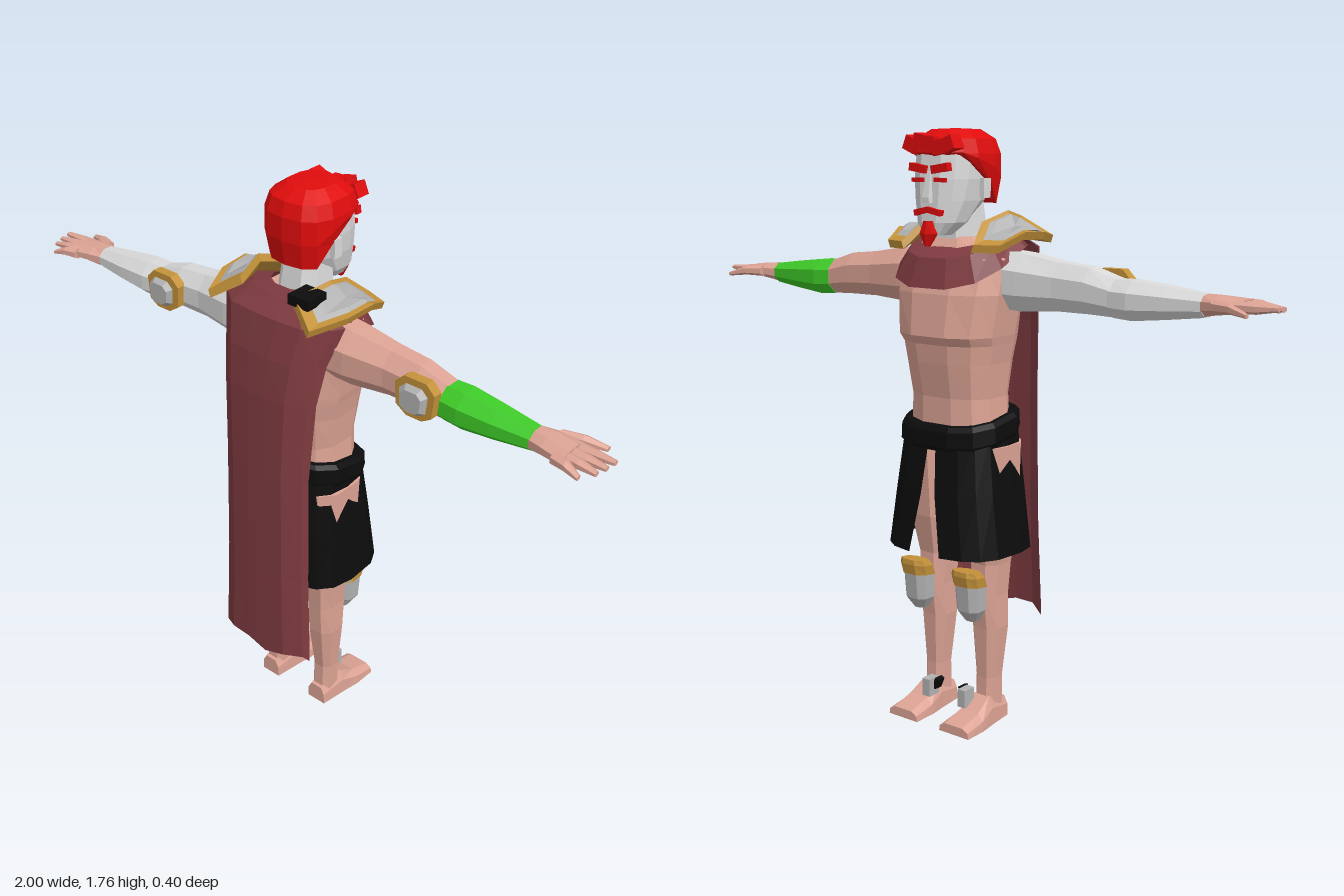
import * as THREE from 'three';

const mat = (name, color, side = THREE.FrontSide) => {
  const m = new THREE.MeshStandardMaterial({ color, side });
  m.name = name;
  return m;
};
const M = {
  skin: mat('skin', 0xdca394),
  pale: mat('pale grey', 0xdadada),
  steel: mat('steel', 0xb2b2b2),
  gold: mat('gold', 0xc4923a),
  hair: mat('bright red', 0xe00c0c, THREE.DoubleSide),
  cloth: mat('dark red cloth', 0x7f3b40, THREE.DoubleSide),
  black: mat('black', 0x0c0c0c, THREE.DoubleSide),
  green: mat('green', 0x3fcc28),
};
const V = (x, y, z) => new THREE.Vector3(x, y, z);
const centre = (r) => r.reduce((a, p) => a.add(p), V(0, 0, 0)).divideScalar(r.length);

// Faceted skin over cross-sections; closed ones are capped and turned outward
function loft(name, material, rings, closed = true) {
  const tris = [], n = rings[0].length, cols = closed ? n : n - 1;
  for (let i = 0; i < rings.length - 1; i++)
    for (let j = 0; j < cols; j++) {
      const k = (j + 1) % n, a = rings[i][j], b = rings[i + 1][j], c = rings[i + 1][k], d = rings[i][k];
      tris.push([a, b, c], [a, c, d]);
    }
  if (closed) {
    const first = rings[0], last = rings[rings.length - 1], c0 = centre(first), c1 = centre(last);
    for (let j = 0; j < n; j++) {
      const k = (j + 1) % n;
      tris.push([c0, first[j], first[k]], [c1, last[k], last[j]]);
    }
    const volume = tris.reduce((s, [a, b, c]) => s + a.dot(b.clone().cross(c)), 0);
    if (volume < 0) tris.forEach((t) => t.reverse());
  }
  const g = new THREE.BufferGeometry().setFromPoints(tris.flat());
  g.computeVertexNormals();
  const mesh = new THREE.Mesh(g, material);
  mesh.name = name;
  return mesh;
}

// Horizontal boxy oval: [y, half width, front z, back z, tilt, centre x]
function oval([y, rx, zf, zb, tilt = 0, cx = 0], n = 12, power = 0.75, gap = 0) {
  const pts = [], bend = (v) => Math.sign(v) * Math.abs(v) ** power;
  for (let i = 0; i < n; i++) {
    const a = gap ? -Math.PI / 2 + gap + (i / (n - 1)) * (2 * Math.PI - 2 * gap) : ((i + 0.5) / n) * Math.PI * 2;
    const z = (zf + zb) / 2 + bend(Math.sin(a)) * (zb - zf) / 2;
    pts.push(V(cx + bend(Math.cos(a)) * rx, y + tilt * z, z));
  }
  return pts;
}

// Sideways limb: rows of [x, y, z, half height, half depth]
const limb = (name, material, s, rows, n = 8) => loft(name, material, rows.map(([x, y, z, ry, rz]) =>
  Array.from({ length: n }, (_, i) => {
    const a = ((i + 0.5) / n) * Math.PI * 2;
    return V(s * x, y + ry * Math.sin(a), z + rz * Math.cos(a));
  })));

// Armour plate with a gold rim around a raised steel panel
function plate(name, outline, lift, inset, bulge) {
  const g = new THREE.Group();
  g.name = name;
  const top = outline.map((p) => p.clone().add(lift)), c = centre(top);
  const inner = top.map((p) => c.clone().lerp(p, inset));
  const raised = top.map((p) => c.clone().lerp(p, inset * 0.75).addScaledVector(lift, bulge));
  g.add(loft('rim', M.gold, [outline, top, inner]));
  g.add(loft('panel', M.steel, [inner.map((p) => p.clone().addScaledVector(lift, 0.15)), raised]));
  return g;
}

function box(name, material, w, h, d, x, y, z, rz = 0) {
  const m = new THREE.Mesh(new THREE.BoxGeometry(w, h, d), material);
  m.name = name;
  m.position.set(x, y, z);
  m.rotation.z = rz;
  return m;
}

function buildBody(g) {
  g.add(loft('torso', M.skin, [
    [0.86, 0.15, -0.14, 0.09], [1.0, 0.142, -0.14, 0.085], [1.1, 0.152, -0.158, 0.1], [1.155, 0.162, -0.165, 0.11],
    [1.18, 0.168, -0.183, 0.113], [1.3, 0.185, -0.168, 0.115], [1.4, 0.185, -0.13, 0.1], [1.46, 0.1, -0.09, 0.08],
  ].map((r) => oval(r))));
  // Kilt with a front slit that opens downward, under a tilted belt
  g.add(loft('kilt', M.black, [[0.9, 0.165, -0.155, 0.11, 0, 0, 0.02], [0.72, 0.186, -0.18, 0.128, 0, 0, 0.06],
    [0.54, 0.207, -0.2, 0.14, 0, 0, 0.16]].map((r) => oval(r, 17, 0.7, r[6])), false));
  g.add(loft('belt', M.black, [[0.875, 0.168, -0.16, 0.112, 0.18], [0.89, 0.176, -0.172, 0.116, 0.18],
    [0.935, 0.174, -0.17, 0.116, 0.18], [0.947, 0.16, -0.158, 0.108, 0.18]].map((r) => oval(r))));
  g.add(loft('neck', M.pale, [[1.4, 0.08, -0.1, 0.06], [1.48, 0.072, -0.095, 0.045], [1.56, 0.065, -0.09, 0.03]].map((r) => oval(r, 8))));
}

function buildHead(g) {
  const head = new THREE.Group();
  head.name = 'head';
  head.add(loft('face', M.pale, [
    [1.465, 0.035, -0.165, -0.09], [1.5, 0.065, -0.17, -0.04], [1.56, 0.083, -0.168, 0.02], [1.62, 0.092, -0.166, 0.045],
    [1.69, 0.092, -0.157, 0.05], [1.73, 0.07, -0.13, 0.03],
  ].map((r) => oval(r, 12, 0.7))));
  head.add(loft('nose', M.pale, [[1.555, 0.017, -0.186, -0.15], [1.57, 0.016, -0.187, -0.15], [1.64, 0.008, -0.17, -0.14]].map((r) => oval(r, 4))));
  // Hair shell: low at the nape, above the ears, high over the forehead
  const rim = (z) => (z > 0.01 ? 1.55 : z > -0.06 ? 1.61 : z > -0.11 ? 1.66 : 1.69);
  const upper = [[1.69, 0.112, -0.163, 0.075], [1.73, 0.1, -0.155, 0.062], [1.757, 0.062, -0.115, 0.02], [1.76, 0.002, -0.05, -0.046]].map((r) => oval(r, 14));
  const low = oval([1.6, 0.102, -0.163, 0.064], 14).map((p) => (p.y = rim(p.z), p));
  const mid = oval([1.66, 0.113, -0.166, 0.076], 14).map((p) => (p.y = (rim(p.z) + 1.695) / 2, p));
  head.add(loft('hair', M.hair, [low, mid, ...upper]));
  for (let i = -2; i <= 2; i++) head.add(box('hairFringe', M.hair, 0.042, 0.04, 0.045, i * 0.034, 1.715 + 0.008 * (i % 2), -0.148, i * 0.2));
  for (const s of [-1, 1]) {
    head.add(box('eyebrow', M.hair, 0.06, 0.022, 0.02, s * 0.04, 1.65, -0.161, s * 0.15));
    head.add(box('eye', M.hair, 0.042, 0.012, 0.009, s * 0.04, 1.618, -0.165));
    head.add(box('moustache', M.hair, 0.05, 0.016, 0.02, s * 0.022, 1.532, -0.168, -s * 0.2));
    head.add(box('ear', M.pale, 0.016, 0.055, 0.03, s * 0.096, 1.595, -0.035));
  }
  head.add(loft('goatee', M.hair, [[1.435, 0.008, -0.18, -0.165], [1.47, 0.028, -0.186, -0.15], [1.505, 0.018, -0.178, -0.15]].map((r) => oval(r, 6))));
  g.add(head);
}

function buildCape(g) {
  // Rows: y, half width, centre z, edge z
  const rows = [[1.475, 0.12, 0.1, 0.07], [1.43, 0.212, 0.15, 0.06], [1.32, 0.182, 0.175, 0.1], [1.2, 0.167, 0.188, 0.125],
    [0.95, 0.155, 0.196, 0.142], [0.6, 0.16, 0.2, 0.147], [0.31, 0.172, 0.205, 0.152]];
  g.add(loft('cape', M.cloth, rows.map(([y, w, zc, ze], i) => [-1, -0.92, -0.6, -0.2, 0.2, 0.6, 0.92, 1].map((u, j) =>
    V(u * w, y - (i === 6 && j % 3 === 1 ? 0.02 : 0), zc + (ze - zc) * Math.abs(u) ** 5))), false));
  // Draped collar falling to a point on the chest
  const drape = (rx, zf, zb, yf, yb) => {
    const r = oval([0, rx, zf, zb], 12, 0.8).map((p) => (p.y = yf + (yb - yf) * Math.min(1, (p.z - zf) / (zb - zf) * 1.6), p));
    return [...r, r[0].clone()];
  };
  g.add(loft('collar', M.cloth, [drape(0.08, -0.1, 0.075, 1.435, 1.49), drape(0.15, -0.158, 0.11, 1.4, 1.47),
    drape(0.195, -0.185, 0.14, 1.315, 1.43)], false));
}

function buildArm(g, s) {
  const bare = s > 0, arm = new THREE.Group();
  arm.name = bare ? 'leftArm' : 'rightArm';
  arm.add(limb('upperArm', bare ? M.skin : M.pale, s, [[0.14, 1.34, 0.01, 0.09, 0.085], [0.22, 1.335, 0.01, 0.088, 0.08],
    [0.34, 1.33, 0.005, 0.073, 0.062], [0.44, 1.325, 0.005, 0.068, 0.06], [0.53, 1.31, 0.005, 0.055, 0.056]]));
  arm.add(limb('forearm', bare ? M.green : M.pale, s, [[0.52, 1.31, 0.005, 0.056, 0.058], [0.58, 1.308, 0.005, 0.058, 0.064],
    [0.68, 1.308, 0.008, 0.047, 0.055], [0.79, 1.308, 0.01, 0.033, 0.04]]));
  arm.add(limb('palm', M.skin, s, [[0.78, 1.308, 0.01, 0.032, 0.038], [0.83, 1.312, 0.01, 0.026, 0.053], [0.9, 1.312, 0.02, 0.02, 0.058]]));
  // Fingers: start x, z, tip x, z, tip y
  for (const [x0, z0, x1, z1, y1] of [[0.83, -0.035, 0.945, -0.075, 1.3], [0.88, -0.018, 1.0, -0.012, 1.315],
    [0.88, 0.012, 0.995, 0.02, 1.312], [0.88, 0.04, 0.985, 0.05, 1.308], [0.87, 0.062, 0.955, 0.083, 1.3]])
    arm.add(limb('finger', M.skin, s, [[x0, 1.312, z0, 0.017, 0.019], [(x0 + x1) / 2, 1.312, (z0 + z1) / 2, 0.014, 0.017], [x1, y1, z1, 0.007, 0.01]], 6));
  const elbow = [[-0.065, 0.03], [-0.035, 0.057], [0.035, 0.057], [0.062, 0.03], [0.055, -0.04], [0.025, -0.058], [-0.025, -0.058], [-0.06, -0.035]];
  arm.add(plate('elbowGuard', elbow.map(([x, y]) => V(s * (0.465 + x), 1.325 + y, 0.055)), V(0, 0, 0.03), 0.72, 0.7));
  const shoulder = [[0.12, 1.51, 0.03], [0.09, 1.49, 0.135], [0.175, 1.435, 0.175], [0.222, 1.45, 0.07], [0.228, 1.455, -0.03],
    [0.2, 1.42, -0.11], [0.125, 1.42, -0.135], [0.1, 1.48, -0.065]];
  arm.add(plate('shoulderGuard', shoulder.map(([x, y, z]) => V(s * x, y, z)), V(s * 0.008, 0.022, 0), 0.76, 0.5));
  g.add(arm);
}

function buildLeg(g, s) {
  const leg = new THREE.Group(), cx = s * 0.1;
  leg.name = s > 0 ? 'leftLeg' : 'rightLeg';
  leg.add(loft('shin', M.skin, [[0.05, 0.036, -0.055, 0.028], [0.14, 0.036, -0.052, 0.024], [0.3, 0.05, -0.062, 0.045],
    [0.4, 0.048, -0.075, 0.05], [0.5, 0.055, -0.072, 0.055], [0.62, 0.075, -0.1, 0.08], [0.86, 0.08, -0.12, 0.09]].map((r) => oval([...r, 0, cx], 8))));
  leg.add(loft('foot', M.skin, [[0.035, 0.034, 0.06], [-0.05, 0.045, 0.085], [-0.11, 0.055, 0.05], [-0.185, 0.056, 0.028]].map(([z, w, y]) =>
    [V(cx - w, 0, z), V(cx + w, 0, z), V(cx + w * 0.95, y * 0.6, z), V(cx + w * 0.6, y, z), V(cx - w * 0.6, y, z), V(cx - w * 0.95, y * 0.6, z)])));
  leg.add(loft('kneeSteel', M.steel, [[0.335, 0.02, -0.115, -0.075], [0.37, 0.042, -0.14, -0.062], [0.45, 0.045, -0.148, -0.06]].map((r) => oval([...r, 0, cx], 8))));
  leg.add(loft('kneeTrim', M.gold, [[0.435, 0.048, -0.152, -0.06], [0.465, 0.05, -0.157, -0.075], [0.48, 0.044, -0.155, -0.09]].map((r) => oval([...r, -0.1, cx], 8))));
  // Ankle ornament
  leg.add(box('anklePlate', M.steel, 0.028, 0.055, 0.045, cx - s * 0.03, 0.082, -0.09));
  leg.add(box('ankleSpike', M.black, 0.014, 0.035, 0.03, cx - s * 0.048, 0.092, -0.075, s * 0.4));
  g.add(leg);
}

export function createModel() {
  const g = new THREE.Group();
  g.name = 'capedFighter';
  buildBody(g);
  buildHead(g);
  buildCape(g);
  for (const s of [-1, 1]) {
    buildArm(g, s);
    buildLeg(g, s);
  }
  // Small dark clasp behind the left shoulder
  g.add(box('clasp', M.black, 0.07, 0.03, 0.075, 0.115, 1.505, 0.105));
  return g;
}
